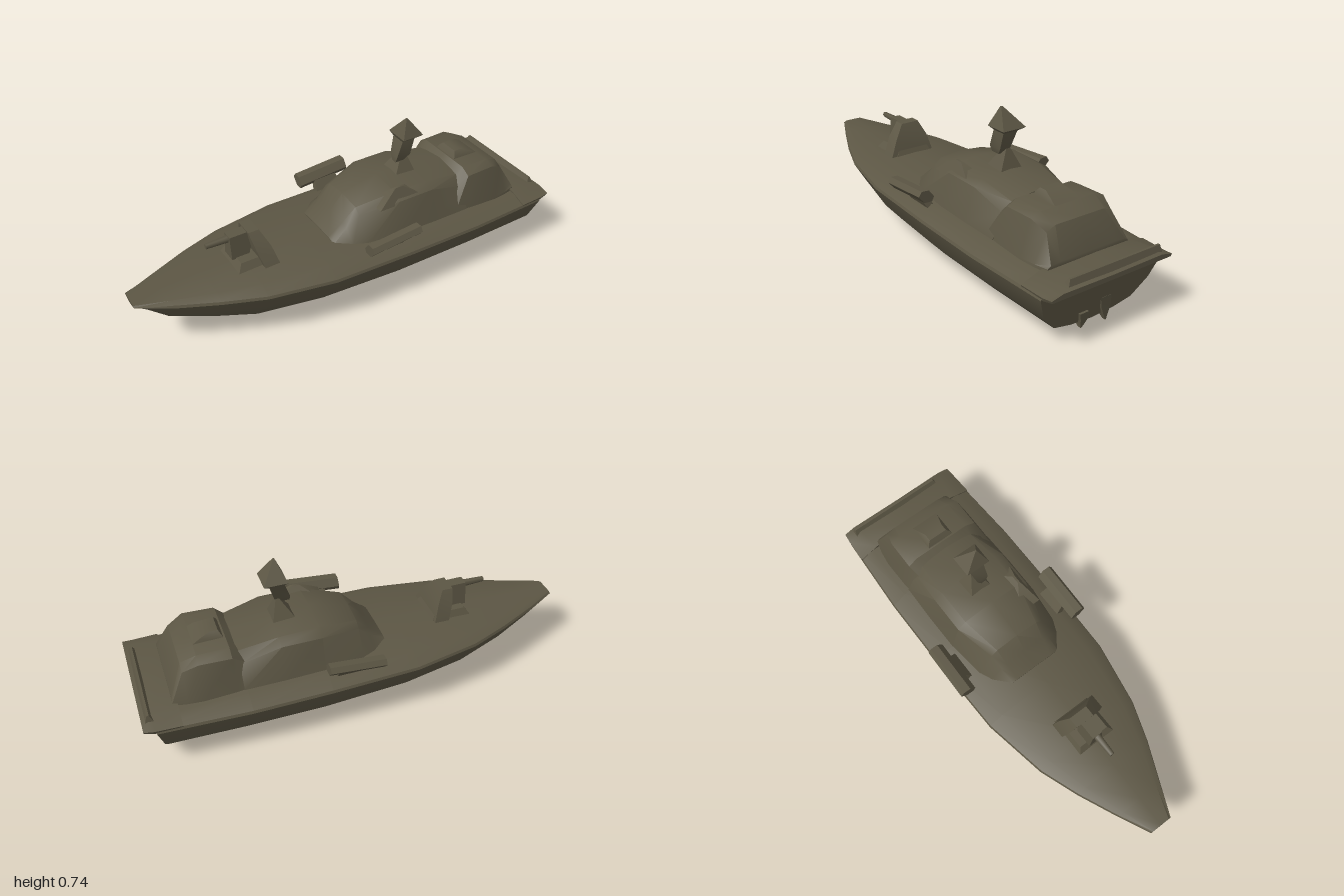
import * as THREE from 'three';
import { toCreasedNormals } from 'three/addons/utils/BufferGeometryUtils.js';

const paint = new THREE.MeshStandardMaterial({ color: 0x5c5644, side: THREE.DoubleSide });

// Skin a list of equal-length closed rings of [x, y, z] points, with fan caps.
function loft(name, rings, crease = 0.6) {
  const n = rings[0].length;
  const pos = rings.flat(2);
  const idx = [];
  for (let r = 0; r < rings.length - 1; r++) {
    for (let i = 0; i < n; i++) {
      const a = r * n + i, b = r * n + (i + 1) % n;
      idx.push(a, b, b + n, a, b + n, a + n);
    }
  }
  const cap = (r, flip) => {
    const c = pos.length / 3;
    for (let k = 0; k < 3; k++) pos.push(rings[r].reduce((s, p) => s + p[k], 0) / n);
    for (let i = 0; i < n; i++) {
      const a = r * n + i, b = r * n + (i + 1) % n;
      idx.push(...(flip ? [c, b, a] : [c, a, b]));
    }
  };
  cap(0, true);
  cap(rings.length - 1, false);

  // Signed volume tells whether the faces point outwards.
  const v = i => new THREE.Vector3().fromArray(pos, i * 3);
  let volume = 0;
  for (let i = 0; i < idx.length; i += 3) volume += v(idx[i]).dot(v(idx[i + 1]).cross(v(idx[i + 2])));
  if (volume < 0) idx.reverse();

  const g = new THREE.BufferGeometry();
  g.setAttribute('position', new THREE.Float32BufferAttribute(pos, 3));
  g.setIndex(idx);
  return part(name, toCreasedNormals(g, crease));
}

function part(name, geometry, x = 0, y = 0, z = 0) {
  const m = new THREE.Mesh(geometry, paint);
  m.name = name;
  m.position.set(x, y, z);
  return m;
}

// Mirrored cross-section from [z, y] points running keel to top; rake leans it along x.
function section(x, half, rake = 0) {
  const at = (z, y) => [x + rake * y, y, z];
  return [...half.map(([z, y]) => at(z, y)),
    ...half.filter(p => p[0] > 0).reverse().map(([z, y]) => at(-z, y))];
}

// Four-cornered horizontal ring.
const quad = (y, x0, x1, z0, z1) => [[x0, y, z0], [x1, y, z0], [x1, y, z1], [x0, y, z1]];

function hull() {
  // x, keel y, chine z, chine y, knuckle z, knuckle y, gunwale z, gunwale y, deck centre y
  const stations = [
    [-1, 0.265, 0.015, 0.267, 0.035, 0.27, 0.055, 0.277, 0.283],
    [-0.86, 0.14, 0.04, 0.155, 0.08, 0.2, 0.12, 0.272, 0.285],
    [-0.68, 0.08, 0.09, 0.105, 0.15, 0.17, 0.2, 0.268, 0.29],
    [-0.5, 0.025, 0.14, 0.07, 0.21, 0.16, 0.265, 0.262, 0.295],
    [-0.2, 0.022, 0.19, 0.06, 0.27, 0.15, 0.32, 0.257, 0.3],
    [0.2, 0.022, 0.21, 0.055, 0.29, 0.14, 0.33, 0.252, 0.3],
    [0.55, 0.022, 0.21, 0.055, 0.29, 0.14, 0.33, 0.248, 0.292],
    [0.89, 0.025, 0.2, 0.055, 0.27, 0.13, 0.31, 0.245, 0.27],
  ];
  return loft('hull', stations.map(([x, ky, cz, cy, nz, ny, gz, gy, dy], i) => section(x, [
    [0, ky], [cz * 0.55, ky + (cy - ky) * 0.3], [cz, cy], [nz, ny],
    [gz, gy - 0.012 * Math.min(1, i)], [gz - 0.005, gy], [gz * 0.78, gy + (dy - gy) * 0.85], [0, dy],
  ], i === stations.length - 1 ? 0.25 : 0)));
}

function cabin() {
  // x, foot half-width, shoulder half-width, shoulder y, roof y
  const stations = [
    [-0.11, 0.15, 0.12, 0.298, 0.303],
    [-0.04, 0.2, 0.13, 0.345, 0.37],
    [0.02, 0.225, 0.14, 0.4, 0.435],
    [0.2, 0.245, 0.19, 0.435, 0.478],
    [0.38, 0.245, 0.19, 0.435, 0.468],
    [0.56, 0.24, 0.175, 0.38, 0.445],
  ];
  return loft('cabin', stations.map(([x, fz, sz, sy, ry]) => section(x, [
    [0, 0.25], [fz, 0.255], [fz - 0.01, 0.29], [sz, sy], [sz * 0.78, sy + (ry - sy) * 0.7], [0, ry],
  ])));
}

function aftHouse() {
  const stations = [
    [0.5, 0.23, 0.16, 0.36, 0.385],
    [0.59, 0.235, 0.185, 0.43, 0.455],
    [0.73, 0.235, 0.185, 0.435, 0.452],
    [0.8, 0.225, 0.165, 0.4, 0.42],
    [0.86, 0.21, 0.19, 0.295, 0.3],
  ];
  return loft('aftHouse', stations.map(([x, fz, sz, sy, ry]) => section(x, [
    [0, 0.245], [fz, 0.25], [fz - 0.005, 0.285], [sz, sy], [sz * 0.75, ry], [0, ry],
  ])));
}

function deckGun() {
  const g = new THREE.Group();
  g.name = 'deckGun';
  g.add(
    loft('gunBase', [quad(0.28, -0.56, -0.36, -0.09, 0.11), quad(0.325, -0.53, -0.38, -0.07, 0.08)]),
    loft('gunPedestal', [quad(0.32, -0.55, -0.47, -0.035, 0.035), quad(0.43, -0.55, -0.43, -0.025, 0.025)]),
    // Sloping shield behind the breech
    loft('gunShield', [quad(0.29, -0.44, -0.37, -0.1, 0.13), quad(0.37, -0.46, -0.39, -0.08, 0.09),
      quad(0.435, -0.47, -0.42, -0.05, 0.04)]),
  );
  const barrel = part('gunBarrel', new THREE.CylinderGeometry(0.012, 0.022, 0.22, 6), -0.54, 0.412, 0);
  barrel.rotation.z = Math.PI / 2;
  g.add(barrel);
  return g;
}

function mast() {
  const g = new THREE.Group();
  g.name = 'mast';
  g.add(
    loft('mastFoot', [quad(0.455, 0.27, 0.38, -0.06, 0.055), quad(0.555, 0.335, 0.35, -0.012, 0.005)]),
    loft('mastPost', [quad(0.525, 0.285, 0.33, 0.005, 0.03), quad(0.555, 0.285, 0.355, -0.012, 0.042),
      quad(0.63, 0.31, 0.375, -0.03, 0.042), quad(0.65, 0.3, 0.405, -0.05, 0.065),
      quad(0.735, 0.335, 0.342, 0.022, 0.03)]),
  );
  return g;
}

// Angled launcher tube with a bracket to the deck; side is +1 or -1.
function launcher(side) {
  const g = new THREE.Group();
  g.name = side > 0 ? 'frontLauncher' : 'rearLauncher';
  const profile = [[0.285, 0.335], [0.275, 0.355], [0.3, 0.388], [0.335, 0.39], [0.35, 0.368], [0.32, 0.335]];
  const ring = (x, dy) => profile.map(([z, y]) => [x, y + dy, z * side]);
  const bracket = (x, w) => [[x - w, 0.27, 0.23 * side], [x + w, 0.27, 0.23 * side],
    [x + w, 0.27, 0.27 * side], [x - w, 0.27, 0.27 * side]];
  const head = [[0.04, 0.35, 0.285 * side], [0.15, 0.35, 0.285 * side],
    [0.15, 0.34, 0.31 * side], [0.04, 0.34, 0.31 * side]];
  g.add(loft('launcherTube', [ring(-0.035, -0.022), ring(0.215, 0)]),
    loft('launcherBracket', [bracket(0.1, 0.07), head]));
  return g;
}

// Pointed fin under the stern
const rudder = (name, z0, z1, tipZ, tipY, top) => loft(name, [
  quad(tipY, 0.895, 0.91, tipZ - 0.003, tipZ + 0.003),
  quad(top * 0.6, 0.86, 0.915, z0, z1),
  quad(top, 0.87, 0.92, z0 + 0.005, z1 + 0.01),
]);

export function createModel() {
  const boat = new THREE.Group();
  boat.name = 'patrolBoat';
  boat.add(hull(), cabin(), aftHouse(), deckGun(), mast(), launcher(1), launcher(-1));

  // Overhanging stern platform with a raised after edge
  boat.add(loft('sternPlatform', [
    section(0.84, [[0, 0.24], [0.31, 0.238], [0.315, 0.25], [0.22, 0.282], [0, 0.285]]),
    section(0.955, [[0, 0.24], [0.305, 0.235], [0.31, 0.25], [0.24, 0.28], [0, 0.275]]),
    section(1, [[0, 0.245], [0.3, 0.245], [0.305, 0.255], [0.25, 0.268], [0, 0.265]]),
  ]));
  boat.add(loft('sternCoaming', [
    quad(0.25, 0.94, 0.99, -0.27, 0.22), quad(0.298, 0.965, 0.975, -0.26, 0.2)]));

  // Vent hood on the aft house
  boat.add(loft('ventHood', [
    quad(0.44, 0.59, 0.75, -0.07, 0.07), quad(0.468, 0.605, 0.7, -0.06, 0.06),
    quad(0.484, 0.615, 0.65, -0.045, 0.045)]));

  // Raised corner on the cabin roof, on the front side
  boat.add(loft('roofFin', [
    quad(0.42, 0.1, 0.34, 0.08, 0.19), quad(0.487, 0.2, 0.24, 0.145, 0.155)]));

  boat.add(rudder('frontRudder', 0.035, 0.075, 0.067, 0.01, 0.08),
    rudder('rearRudder', -0.08, -0.03, -0.062, 0, 0.115));
  return boat;
}
